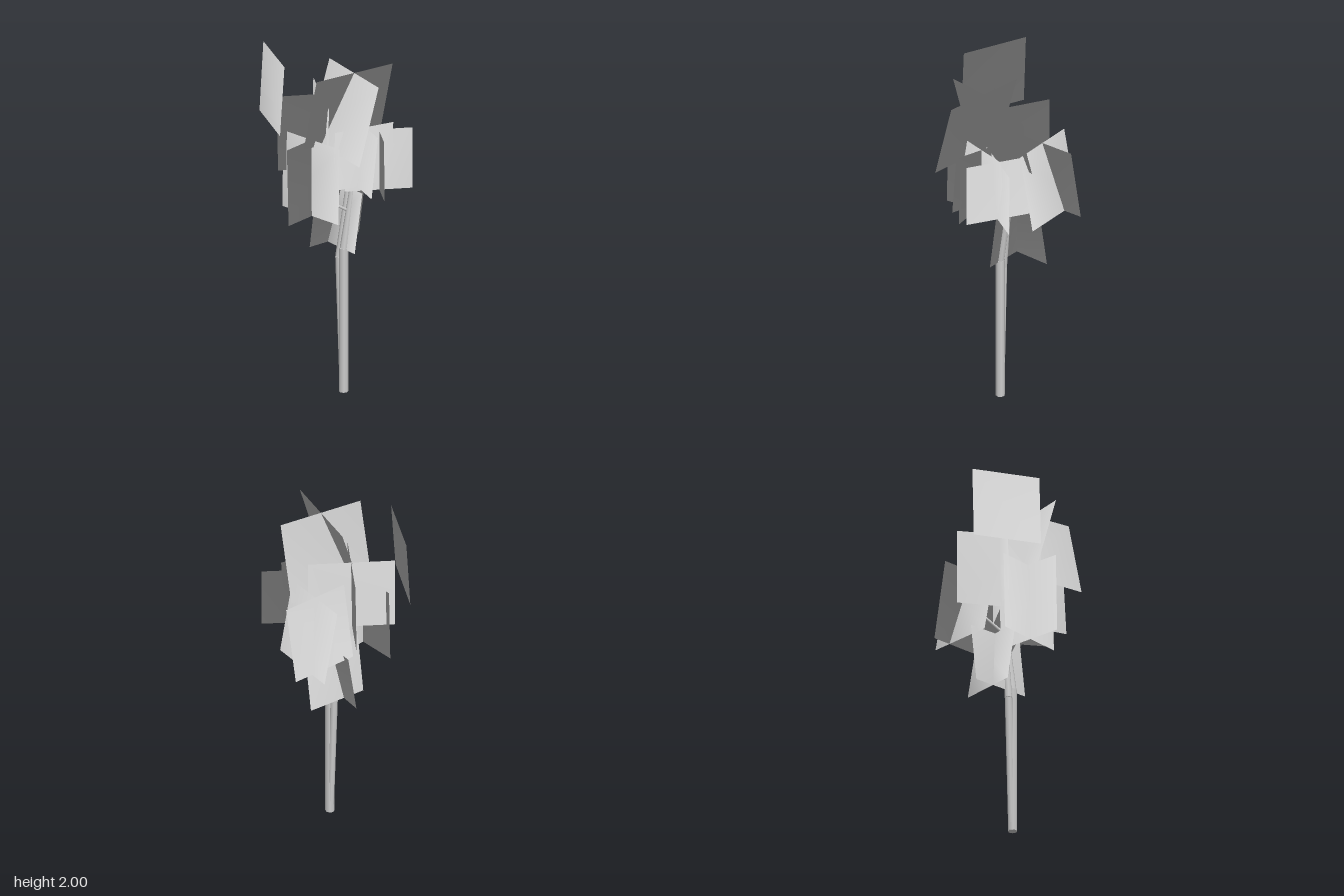
import * as THREE from 'three';

const grey = new THREE.MeshStandardMaterial({ color: 0xcccccc, side: THREE.DoubleSide });
grey.name = 'pale grey';

// Leaf normals fan out from this point on the trunk, so the foliage shades as one soft mass
const heart = new THREE.Vector3(-0.018, 0.65, 0.07);

// Flat leaf card: bottom edge a-b and top edge c-d, each given as [x, z]
function leafCard(y0, y1, [a, b, c, d]) {
  const corners = [a, b, d, c].map(([x, z], i) => new THREE.Vector3(x, i < 2 ? y0 : y1, z));
  const g = new THREE.BufferGeometry().setFromPoints(corners);
  const normals = corners.flatMap((p) => p.clone().sub(heart).normalize().toArray());
  g.setAttribute('normal', new THREE.Float32BufferAttribute(normals, 3));
  g.setIndex([0, 1, 2, 0, 2, 3]);
  const mesh = new THREE.Mesh(g, grey);
  mesh.name = 'leafCard';
  return mesh;
}

// Nearly upright card from a to b in plan, leaning by the given offset
function upright([ax, az], [bx, bz], lean) {
  const length = Math.hypot(bx - ax, bz - az);
  const ox = (bz - az) / length * lean / 2, oz = (ax - bx) / length * lean / 2;
  return [[ax - ox, az - oz], [bx - ox, bz - oz], [ax + ox, az + oz], [bx + ox, bz + oz]];
}

// Tapered straight limb between two points
function limb(name, from, to, r0, r1) {
  const a = new THREE.Vector3(...from), b = new THREE.Vector3(...to);
  const dir = b.clone().sub(a);
  const mesh = new THREE.Mesh(new THREE.CylinderGeometry(r1, r0, dir.length(), 8), grey);
  mesh.position.copy(a).add(b).multiplyScalar(0.5);
  mesh.quaternion.setFromUnitVectors(new THREE.Vector3(0, 1, 0), dir.normalize());
  mesh.name = name;
  return mesh;
}

// Foliage clusters: name, bottom, top, cards
const clusters = [
  ['crownLeaves', 1.5, 1.95, [
    [[-0.26, -0.01], [0.22, 0.128], [-0.294, 0.116], [0.185, 0.252]],
    [[-0.12, -0.095], [-0.246, 0.39], [0.011, -0.06], [-0.124, 0.423]],
  ]],
  ['backTopLeaf', 1.59, 2.0, [
    [[-0.364, -0.092], [-0.16, -0.425], [-0.341, -0.08], [-0.14, -0.414]],
  ]],
  ['leftLeaves', 1.17, 1.61, [
    [[0.005, -0.14], [0.4, -0.096], [-0.006, -0.055], [0.39, -0.008]],
    [[0.3, -0.222], [0.255, 0.182], [0.213, -0.232], [0.17, 0.172]],
  ]],
  ['lowLeaves', 0.85, 1.2, [
    [[-0.12, -0.09], [0.222, -0.03], [-0.13, -0.035], [0.21, 0.03]],
    [[0.025, -0.187], [-0.03, 0.163], [0.075, -0.175], [0.02, 0.175]],
  ]],
  ['frontLeaves', 1.23, 1.59, [
    upright([-0.043, 0.393], [0.189, 0.107], 0.004),
    upright([-0.073, 0.13], [0.217, 0.37], 0.004),
  ]],
  ['frontUpperLeaves', 1.275, 1.635, [
    [[-0.195, 0.15], [0.14, 0.283], [-0.207, 0.175], [0.125, 0.31]],
    [[-0.14, 0.385], [0.01, 0.06], [-0.105, 0.4], [0.045, 0.07]],
  ]],
  ['rightLeaves', 1.09, 1.54, [
    upright([-0.4, -0.003], [0.01, -0.003], 0.012),
    upright([-0.202, -0.215], [-0.202, 0.2], 0.01),
  ]],
  ['backLeaves', 1.31, 1.75, [
    upright([-0.237, -0.222], [0.138, 0.082], 0.007),
    upright([0.1, -0.263], [-0.19, 0.11], 0.007),
  ]],
];

// Trunk and branches: name, start, end, start radius, end radius
const limbs = [
  ['trunk', [-0.018, 0, 0.07], [-0.018, 0.86, 0.07], 0.026, 0.026],
  ['secondStem', [-0.016, 0, 0.063], [-0.018, 0.8, 0.036], 0.018, 0.021],
  ['secondStemTop', [-0.018, 0.8, 0.036], [0.03, 1.2, 0.06], 0.021, 0.015],
  ['upperTrunk', [-0.018, 0.85, 0.07], [0.045, 1.24, 0.085], 0.023, 0.016],
  ['leftBranch', [0.02, 1.2, 0.06], [0.19, 1.4, -0.03], 0.009, 0.005],
  ['rightBranch', [0.005, 1.08, 0.065], [-0.19, 1.215, 0], 0.009, 0.004],
  ['crownBranch', [0.03, 1.2, 0.07], [-0.04, 1.55, 0.1], 0.012, 0.004],
];

export function createModel() {
  const tree = new THREE.Group();
  tree.name = 'tree';
  for (const args of limbs) tree.add(limb(...args));
  for (const [name, y0, y1, cards] of clusters) {
    const cluster = new THREE.Group();
    cluster.name = name;
    for (const card of cards) cluster.add(leafCard(y0, y1, card));
    tree.add(cluster);
  }
  return tree;
}
